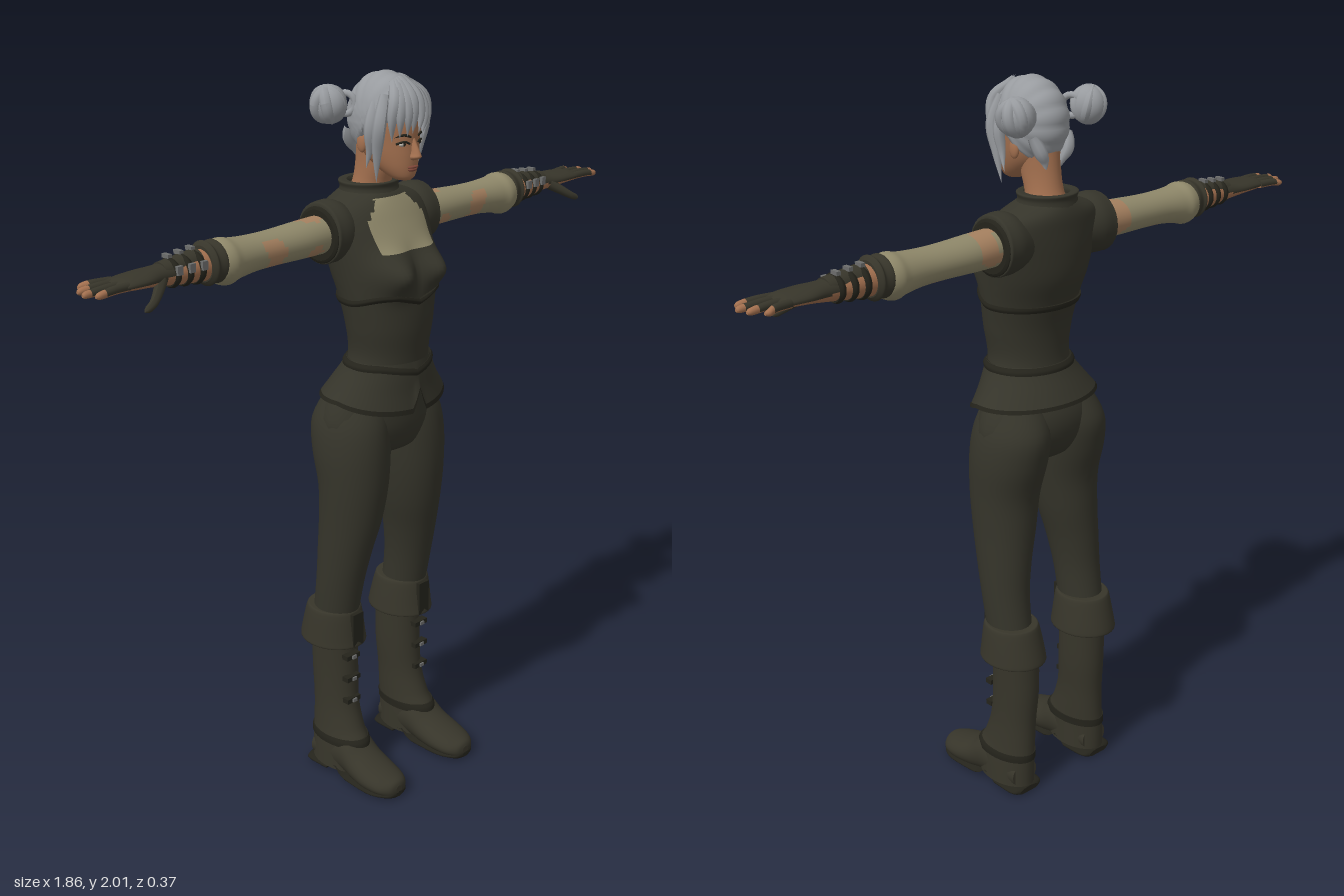
import * as THREE from 'three';

const mat = (name, color, side = THREE.FrontSide) => {
  const m = new THREE.MeshStandardMaterial({ color, side });
  m.name = name;
  return m;
};
const { smoothstep } = THREE.MathUtils;

// Smooth value through section rows
const spline = (a, b, c, d, t) =>
  0.5 * (2 * b + (c - a) * t + (2 * a - 5 * b + 4 * c - d) * t * t + (3 * b - a - 3 * c + d) * t * t * t);

// Skin over elliptical sections [y, centreX, radiusX, zFront, zBack], listed bottom to top
function loft(rows, { seg = 28, steps = 5, caps = true, warp, rule } = {}) {
  const pos = [], buckets = [[], [], []], n = rows.length, rings = (n - 1) * steps;
  const put = (x, y, z) => {
    const v = new THREE.Vector3(x, y, z);
    if (warp) warp(v);
    return pos.push(v.x, v.y, v.z) / 3 - 1;
  };
  const tri = (...ids) => {
    const mid = (k) => ids.reduce((s, i) => s + pos[i * 3 + k], 0) / ids.length;
    const bucket = buckets[rule ? rule(mid(0), mid(1), mid(2)) : 0];
    bucket.push(ids[0], ids[1], ids[2]);
    if (ids.length === 4) bucket.push(ids[0], ids[2], ids[3]);
  };
  const ring = (i) => {
    const k = Math.min(Math.floor(i / steps), n - 2), t = i / steps - k;
    const at = (j) => rows[Math.max(0, Math.min(n - 1, j))];
    const [y, cx, rx, zf, zb] = rows[0].map((_, c) => spline(at(k - 1)[c], at(k)[c], at(k + 1)[c], at(k + 2)[c], t));
    const ids = [];
    for (let j = 0; j < seg; j++) {
      const a = (j / seg) * Math.PI * 2;
      ids.push(put(cx + rx * Math.cos(a), y, (zf + zb) / 2 + (zf - zb) / 2 * Math.sin(a)));
    }
    return { ids, centre: [cx, y, (zf + zb) / 2] };
  };
  let last = null;
  for (let i = 0; i <= rings; i++) {
    const now = ring(i).ids;
    if (last) for (let j = 0; j < seg; j++) tri(last[j], now[j], now[(j + 1) % seg], last[(j + 1) % seg]);
    last = now;
  }
  if (caps) for (const end of [0, rings]) {
    const { ids, centre } = ring(end), c = put(...centre);
    for (let j = 0; j < seg; j++) {
      const p = ids[j], q = ids[(j + 1) % seg];
      end ? tri(c, q, p) : tri(c, p, q);
    }
  }
  const g = new THREE.BufferGeometry();
  g.setAttribute('position', new THREE.Float32BufferAttribute(pos, 3));
  g.setIndex(buckets.flat());
  let start = 0;
  if (rule) buckets.forEach((b, i) => { if (b.length) g.addGroup(start, b.length, i); start += b.length; });
  g.computeVertexNormals();
  return g;
}

// Tapered lock along a curve
function lock(points, radius, shape = (t) => Math.sin(Math.PI * (0.25 + 0.75 * t))) {
  const curve = new THREE.CatmullRomCurve3(points.map((p) => new THREE.Vector3(...p)));
  const g = new THREE.TubeGeometry(curve, 16, radius, 8), p = g.attributes.position, v = new THREE.Vector3();
  for (let i = 0; i < p.count; i++) {
    const t = Math.floor(i / 9) / 16, c = curve.getPointAt(t);
    v.fromBufferAttribute(p, i).sub(c).multiplyScalar(Math.max(0.02, shape(t))).add(c);
    p.setXYZ(i, v.x, v.y, v.z);
  }
  return g;
}

const blob = (x, y, z, rx, ry, rz) => new THREE.SphereGeometry(1, 20, 14).scale(rx, ry, rz).translate(x, y, z);
const box = (x, y, z, w, h, d) => new THREE.BoxGeometry(w, h, d).translate(x, y, z);

function mirrored(g) {
  const m = g.clone().scale(-1, 1, 1), ix = m.index.array;
  for (let i = 0; i < ix.length; i += 3) [ix[i], ix[i + 1]] = [ix[i + 1], ix[i]];
  m.computeVertexNormals();
  return m;
}

export function createModel() {
  const root = new THREE.Group();
  const cloth = mat('dark olive cloth', 0x35342a, THREE.DoubleSide), leather = mat('dark leather', 0x37352a);
  const trim = mat('seam trim', 0x24231b), linen = mat('khaki linen', 0x8e8769), worn = mat('worn linen', 0xa5805f);
  const skin = mat('skin', 0xa3704f), hair = mat('silver hair', 0x989b9f), metal = mat('buckle metal', 0x6c6d6c);
  const lips = mat('lips', 0x7d4638), eye = mat('eye white', 0xb9b4aa);
  const add = (name, g, m) => {
    const mesh = new THREE.Mesh(g, m);
    mesh.name = name;
    root.add(mesh);
  };
  const pair = (name, g, m) => { add(name + 'Left', g, m); add(name + 'Right', mirrored(g), m); };

  // Vest with a linen chest panel
  const bust = (v) => {
    if (v.z > -0.03) v.z += 0.058 * Math.exp(-(((Math.abs(v.x) - 0.07) / 0.05) ** 2) - ((v.y - 1.5) / 0.048) ** 2);
  };
  add('vest', loft([[1.2, 0, .132, .1, -.105], [1.27, 0, .116, .105, -.095], [1.35, 0, .127, .115, -.1],
    [1.43, 0, .14, .115, -.12], [1.5, 0, .152, .1, -.143], [1.57, 0, .165, .08, -.15], [1.63, 0, .172, .05, -.15],
    [1.665, 0, .15, .03, -.148], [1.69, 0, .09, .012, -.14], [1.7, 0, .06, 0, -.13]], {
    seg: 80, steps: 8, warp: bust,
    rule: (x, y, z) => (z > -0.02 && y > 1.55 && y < 1.683 && Math.abs(x) < 0.1 - 0.045 * smoothstep(y, 1.62, 1.69) ? 1 : 0),
  }), [cloth, linen]);
  add('bustSeam', loft([[1.424, 0, .141, .118, -.121], [1.432, 0, .145, .124, -.125], [1.44, 0, .143, .12, -.126]],
    { seg: 48, warp: (v) => { bust(v); v.y += 0.02 * Math.min(1, Math.abs(v.x) / 0.07) * smoothstep(v.z, 0, .1) - .012; } }), trim);
  add('collar', loft([[1.672, 0, .088, .02, -.145], [1.7, 0, .08, .008, -.14], [1.716, 0, .083, .01, -.143],
    [1.716, 0, .06, -.004, -.125]], { caps: false }), cloth);

  // Flared skirt of the vest with a front notch
  const flare = (v) => {
    const k = (1.255 - v.y) / 0.1;
    v.y -= k * 0.035 * Math.max(0, v.z / 0.12);
    if (v.z > 0) v.y += k * 0.06 * Math.max(0, 1 - Math.abs(v.x) / 0.022);
  };
  add('vestSkirt', loft([[1.155, 0, .192, .122, -.158], [1.19, 0, .163, .115, -.137], [1.225, 0, .137, .112, -.115],
    [1.255, 0, .12, .108, -.098]], { seg: 96, caps: false, warp: flare }), cloth);
  add('skirtHem', loft([[1.153, 0, .194, .124, -.16], [1.163, 0, .189, .123, -.156]],
    { seg: 96, caps: false, warp: flare }), trim);
  add('waistSeam', loft([[1.236, 0, .13, .114, -.11], [1.245, 0, .13, .115, -.109], [1.254, 0, .123, .111, -.102]],
    { seg: 48, warp: (v) => { v.y -= 0.02 * Math.max(0, 1 - Math.abs(v.x) / 0.1) * smoothstep(v.z, 0, .1); } }), trim);

  // Trousers
  add('hips', loft([[.985, 0, .06, .03, -.07], [1.0, 0, .13, .062, -.11], [1.06, 0, .19, .082, -.142],
    [1.13, 0, .178, .085, -.142], [1.22, 0, .125, .09, -.1]]), cloth);
  pair('trouserLeg', loft([[.47, .138, .058, -.005, -.14], [.6, .137, .063, .02, -.122], [.7, .13, .071, .043, -.118],
    [.8, .118, .083, .066, -.118], [.9, .111, .092, .08, -.122], [1.0, .107, .098, .084, -.148],
    [1.08, .1, .093, .078, -.156], [1.15, .085, .075, .06, -.125]]), cloth);

  // Boots
  pair('bootCuff', loft([[.42, .137, .07, .005, -.165], [.418, .137, .084, .02, -.18], [.44, .137, .083, .018, -.178],
    [.515, .138, .073, .008, -.158], [.525, .138, .066, 0, -.15]], { steps: 4 }), leather);
  pair('cuffFlap', box(.135, .47, .013, .04, .1, .012).rotateX(0), trim);
  pair('bootShaft', loft([[.02, .14, .06, .04, -.15], [.1, .138, .059, .045, -.151], [.15, .135, .056, .02, -.15],
    [.22, .132, .054, -.002, -.15], [.32, .129, .058, -.01, -.155], [.45, .13, .062, -.015, -.152]]), leather);
  const soleHeight = (z) => (z < .01 ? .032 * smoothstep(z, -.07, -.03) * (1 - smoothstep(z, -.02, .02)) : 0);
  pair('bootFoot', loft([[-.13, .14, .045, -.01, -.09], [-.06, .139, .057, 0, -.13], [0, .139, .06, 0, -.14],
    [.05, .141, .063, .005, -.1], [.1, .143, .064, .006, -.075], [.15, .143, .055, .004, -.058],
    [.178, .142, .034, 0, -.048], [.186, .142, .012, -.012, -.035]])
    .rotateX(Math.PI / 2), leather);
  pair('bootSole', loft([[-.15, .14, .035, 0, -.02], [-.13, .14, .056, 0, -.025], [-.04, .139, .058, 0, -.025],
    [.06, .142, .063, 0, -.022], [.13, .143, .061, 0, -.022], [.175, .142, .038, 0, -.022], [.186, .142, .012, -.004, -.02]],
    { warp: (v) => { v.z = Math.min(v.z + .003, -soleHeight(v.y)); } }).rotateX(Math.PI / 2), trim);
  pair('ankleBand', loft([[.1, .138, .062, .05, -.154], [.112, .138, .062, .047, -.154], [.122, .137, .061, .04, -.153]]), trim);
  for (const y of [.24, .31, .38]) {
    pair('bootStrap', box(.14, y, -.006, .05, .014, .022), trim);
    pair('bootBuckle', box(.14, y, .006, .014, .01, .008), metal);
  }

  // Arms: built along y, then laid out sideways
  const lay = (g) => g.rotateZ(-Math.PI / 2).translate(0, 1.6, -.06);
  const armPart = (name, rows, m, opts) => pair(name, lay(loft(rows.map(([y, drop, rx, rz, z = 0]) =>
    [y, drop, rx, z + rz, z - rz]), opts)), m);
  armPart('shoulderCap', [[.09, 0, .06, .065], [.14, -.005, .08, .08], [.175, -.004, .081, .08], [.187, -.002, .077, .077],
    [.188, 0, .05, .055]], cloth);
  armPart('armholeTrim', [[.182, 0, .07, .07], [.189, 0, .074, .074], [.194, 0, .066, .066]], trim);
  armPart('sleeve', [[.15, -.002, .05, .052], [.25, 0, .048, .055], [.35, .002, .045, .051], [.42, .003, .046, .05],
    [.48, .005, .052, .055], [.51, .006, .059, .061], [.535, .005, .052, .055], [.545, .003, .042, .044]], [linen, worn], {
    seg: 32, steps: 8,
    rule: (x, y, z) => (y < .45 && Math.sin(y * 42 - 8) + Math.sin(z * 45 + x * 38 + y * 16) > 1.05 ? 1 : 0),
  });
  armPart('forearmCuff', [[.53, 0, .044, .046], [.535, 0, .054, .056], [.555, 0, .05, .051], [.565, 0, .056, .056],
    [.575, 0, .045, .045]], leather);
  armPart('forearm', [[.55, .002, .041, .042], [.62, .003, .035, .038], [.7, .003, .025, .031]], skin);
  armPart('bracerPlate', [[.59, -.008, .034, .034], [.63, -.008, .03, .031], [.7, -.004, .025, .03]], leather);
  for (const [y, r] of [[.6, .043], [.635, .04], [.67, .037]]) {
    armPart('bracerStrap', [[y - .009, .002, r - .004, r - .002], [y, .002, r, r + .002], [y + .009, .002, r - .004, r - .002]], trim);
    pair('bracerBuckle', box(y, 1.61, -.06 + r, .016, .022, .01), metal);
    pair('bracerStud', box(y, 1.6 + r, -.068, .012, .01, .024), metal);
  }

  // Gloved hands with bare palms and fingertips
  const palm = { rule: (x) => (x > .004 ? 1 : 0) };
  armPart('hand', [[.67, .002, .029, .034], [.71, .001, .025, .036], [.76, -.001, .02, .047, .002], [.81, -.001, .016, .046, .003],
    [.84, 0, .01, .04, .002]], [leather, skin], palm);
  [[-.034, -.05, .895], [-.012, -.017, .92], [.012, .014, .928], [.034, .042, .912]].forEach(([z0, z1, end]) =>
    armPart('finger', [[.815, -.001, .011, .011, z0], [.86, -.002, .0105, .0105, (z0 + z1) / 2], [end - .012, .001, .009, .009, z1],
      [end, .002, .004, .004, z1]], [leather, skin], { seg: 12, rule: (x, y) => (x > .004 || y > end - .025 ? 1 : 0) }));
  pair('thumb', lock([[.715, 1.592, -.035], [.745, 1.572, -.012], [.772, 1.555, .003], [.8, 1.543, .008]], .016,
    (t) => (t > .93 ? .45 * (1 - t) / .07 : 1 - .5 * t)), leather);

  // Neck and head
  add('neck', loft([[1.67, 0, .062, 0, -.13], [1.71, 0, .049, -.002, -.11], [1.76, 0, .046, .015, -.1],
    [1.82, 0, .048, .02, -.095]]), skin);
  add('head', loft([[1.733, 0, .018, .078, .035], [1.742, 0, .032, .088, .01], [1.765, 0, .048, .093, -.03],
    [1.795, 0, .06, .095, -.07], [1.83, 0, .067, .095, -.09], [1.88, 0, .07, .098, -.095], [1.93, 0, .065, .085, -.085],
    [1.965, 0, .04, .05, -.06]], { seg: 40 }), skin);
  add('nose', loft([[1.787, 0, .009, .1, .08], [1.795, 0, .014, .117, .08], [1.806, 0, .0105, .115, .08],
    [1.83, 0, .007, .102, .08], [1.845, 0, .006, .095, .08]], { seg: 16 }), skin);
  add('upperLip', blob(0, 1.769, .091, .019, .004, .009), lips);
  add('lowerLip', blob(0, 1.762, .089, .016, .005, .009), lips);
  pair('eye', blob(.029, 1.828, .083, .0125, .0055, .006), eye);
  pair('iris', blob(.028, 1.828, .0865, .005, .005, .004), trim);
  pair('eyeLid', lock([[.013, 1.829, .092], [.029, 1.835, .09], [.045, 1.829, .074]], .003, () => 1), trim);
  pair('brow', lock([[.011, 1.846, .095], [.03, 1.852, .089], [.05, 1.845, .072]], .0035), trim);
  pair('ear', blob(.071, 1.825, -.02, .009, .025, .016).rotateZ(0), skin);

  // Hair cap, combed sideways in ridges and tucked in below the hairline
  const cap = new THREE.SphereGeometry(1, 72, 48), p = cap.attributes.position;
  for (let i = 0; i < p.count; i++) {
    const x = p.getX(i), y = p.getY(i), z = p.getZ(i);
    const line = 1.795 + 0.095 * smoothstep(z * .108, -.07, .05);
    const keep = smoothstep(1.885 + y * .113, line - .02, line);
    const s = (.7 + .3 * keep) * (.975 + .035 * Math.abs(Math.sin(7 * Math.atan2(y, z))) * (1 - x * x * .6));
    p.setXYZ(i, x * .088 * s, 1.885 + y * .114 * s, -.006 + z * .108 * s);
  }
  cap.computeVertexNormals();
  add('hairCap', cap, hair);

  // Coiled buns at each side
  pair('hairBun', blob(.122, 1.92, -.085, .042, .05, .05), hair);
  for (const [turn, tilt] of [[.3, .2], [1.2, .6], [-.7, -.3]]) {
    pair('bunCoil', new THREE.TorusGeometry(.034, .017, 10, 28).rotateY(turn).rotateX(tilt).translate(.125, 1.92, -.085), hair);
  }
  pair('bunTie', new THREE.TorusGeometry(.026, .009, 8, 20).rotateY(1.1).translate(.084, 1.92, -.065), hair);

  // Fringe and loose side locks
  [[.012, 1.855, .1], [.03, 1.85, .097], [.048, 1.845, .087], [.062, 1.835, .072]].forEach(([x, y, z], i) =>
    pair('fringeLock', lock([[.004 + i * .006, 1.985 - i * .003, .045], [x * .8, 1.94, .094 - i * .006], [x, 1.895, z + .006], [x * .92, y, z]],
      .017), hair));
  pair('sideLock', lock([[.055, 1.95, .045], [.08, 1.88, .052], [.077, 1.81, .04], [.07, 1.73, .03]], .017), hair);
  pair('templeLock', lock([[.06, 1.94, .02], [.084, 1.87, .022], [.08, 1.81, .016], [.082, 1.765, .006]], .016), hair);
  pair('napeLock', lock([[.06, 1.86, -.075], [.045, 1.82, -.09], [.03, 1.795, -.088], [.022, 1.77, -.085]], .018), hair);
  return root;
}
